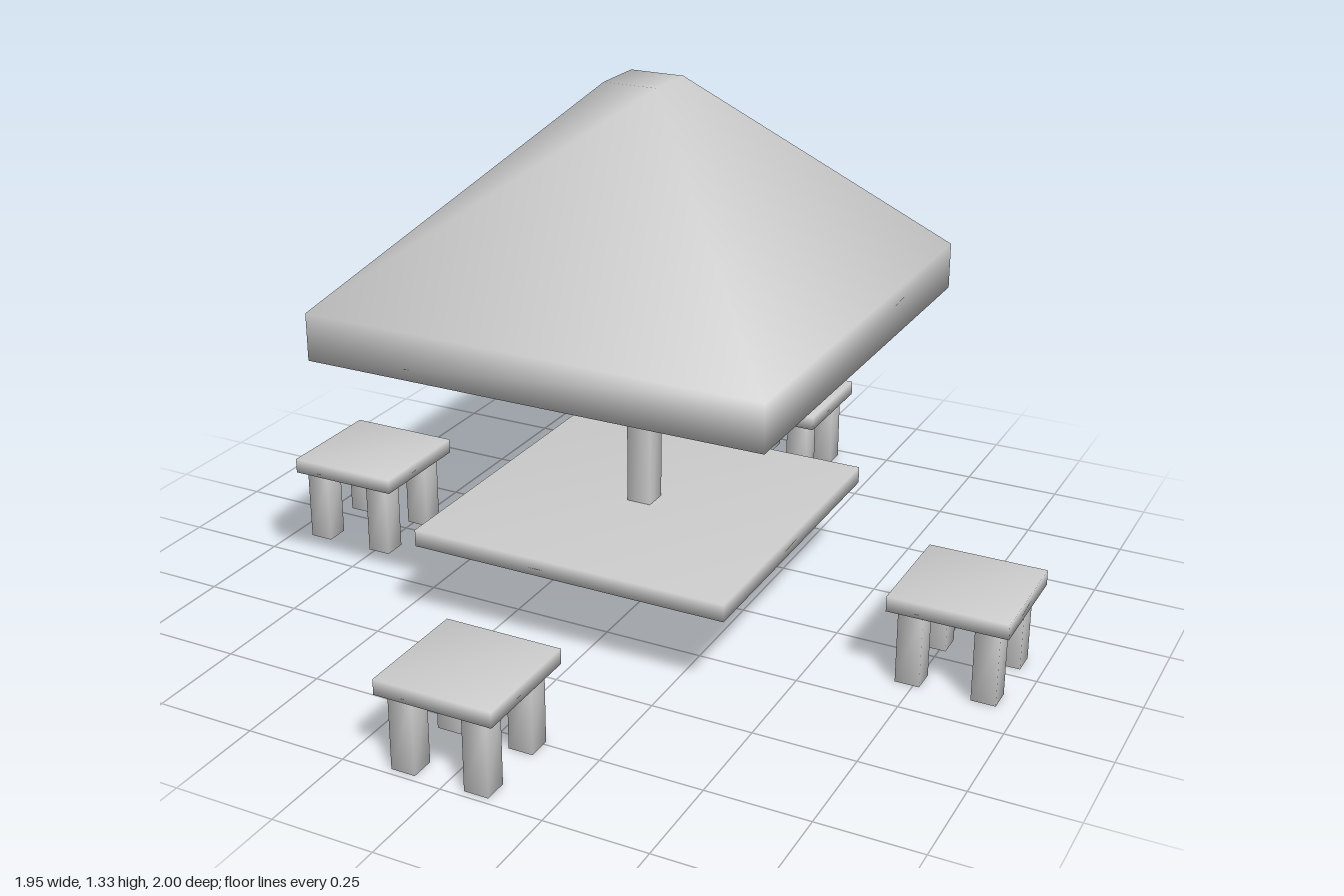
import * as THREE from 'three';
import { mergeVertices } from 'three/addons/utils/BufferGeometryUtils.js';

const material = new THREE.MeshStandardMaterial({ color: 0xcccccc });

// Weld the corners so the shading runs smoothly around the edges
function smooth(geometry) {
  geometry.deleteAttribute('uv');
  geometry.deleteAttribute('normal');
  const welded = mergeVertices(geometry);
  welded.computeVertexNormals();
  return welded;
}

// Square slab or post of the given width, from y0 up to y1
function block(name, width, y0, y1, x = 0, z = 0) {
  const mesh = new THREE.Mesh(smooth(new THREE.BoxGeometry(width, y1 - y0, width)), material);
  mesh.name = name;
  mesh.position.set(x, (y0 + y1) / 2, z);
  return mesh;
}

// Square roof: upright rim, then sloping sides to a small flat top
function canopy() {
  const rings = [[0.73, 1.136], [0.845, 1.136], [1.325, 0.135]]; // height, width
  const geometry = new THREE.BoxGeometry(1, 2, 1, 1, 2, 1);
  const p = geometry.attributes.position;
  for (let i = 0; i < p.count; i++) {
    const [y, width] = rings[Math.round(p.getY(i)) + 1];
    p.setXYZ(i, p.getX(i) * width, y, p.getZ(i) * width);
  }
  const mesh = new THREE.Mesh(smooth(geometry), material);
  mesh.name = 'canopy';
  return mesh;
}

// Stool: square seat on four square legs
function stool(name, x, z) {
  const group = new THREE.Group();
  group.name = name;
  group.position.set(x, 0, z);
  group.add(block('seat', 0.292, 0.187, 0.225));
  for (const sx of [-1, 1]) {
    for (const sz of [-1, 1]) {
      group.add(block('leg', 0.06, 0, 0.188, sx * 0.092, sz * 0.092 + 0.007));
    }
  }
  return group;
}

export function createModel() {
  const model = new THREE.Group();
  model.name = 'parasolTable';

  // Table with its pole and canopy
  const table = new THREE.Group();
  table.name = 'table';
  table.position.set(-0.011, 0, 0.029);
  table.add(block('pole', 0.062, 0, 0.76));
  table.add(block('tableTop', 0.818, 0.222, 0.265));
  table.add(canopy());
  model.add(table);

  // One stool on each side
  model.add(stool('leftStool', 0.827, 0.02));
  model.add(stool('rightStool', -0.828, 0.02));
  model.add(stool('frontStool', -0.012, 0.854));
  model.add(stool('backStool', -0.012, -0.854));
  return model;
}
